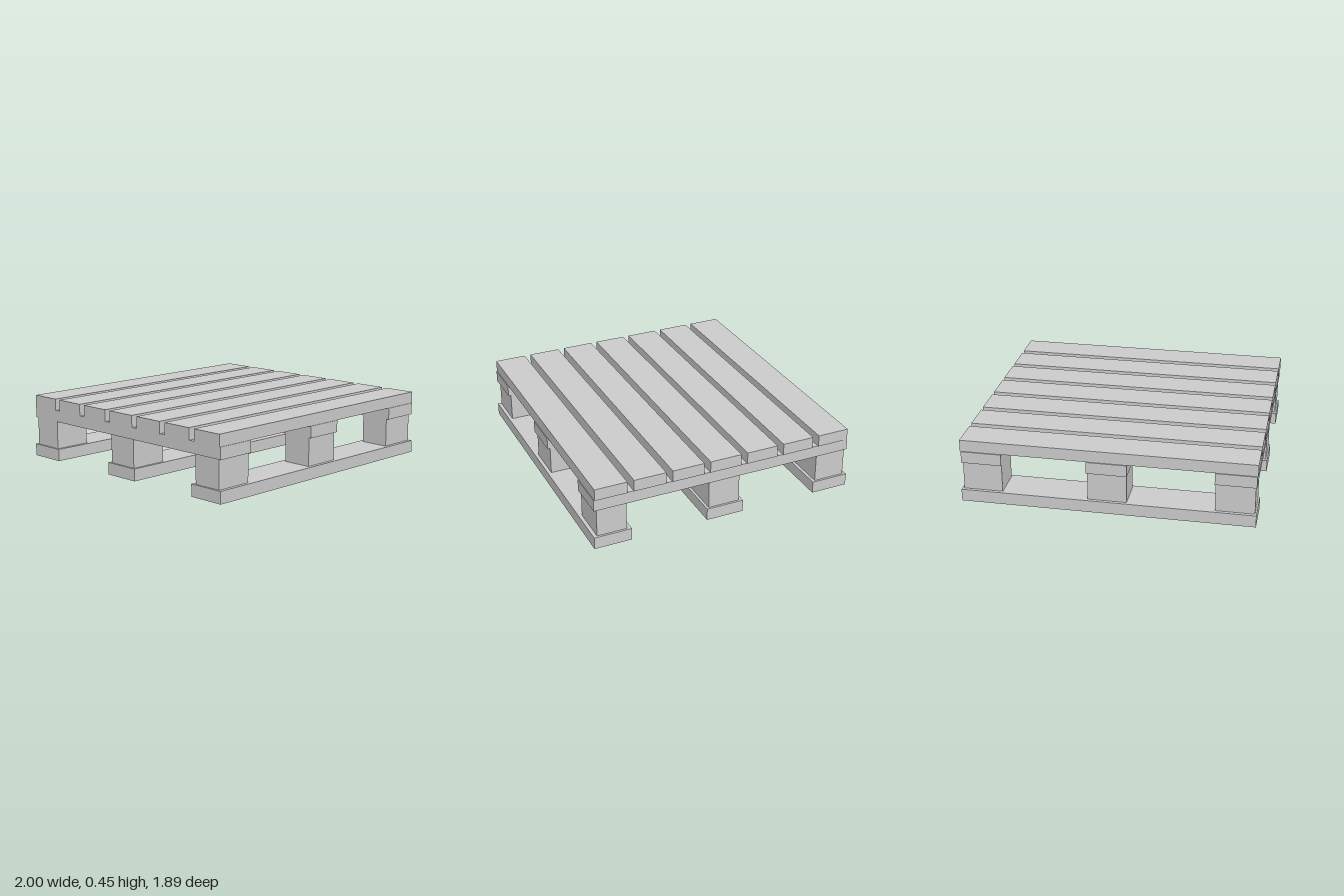
import * as THREE from 'three';

export function createModel() {
  const pallet = new THREE.Group();
  pallet.name = 'pallet';
  const wood = new THREE.MeshStandardMaterial({ color: 0xcccccc, flatShading: true });

  // Box given by its [min, max] range on each axis
  function plank(name, [x0, x1], [y0, y1], [z0, z1]) {
    const mesh = new THREE.Mesh(new THREE.BoxGeometry(x1 - x0, y1 - y0, z1 - z0), wood);
    mesh.position.set((x0 + x1) / 2, (y0 + y1) / 2, (z0 + z1) / 2);
    mesh.name = name;
    pallet.add(mesh);
  }

  const fullWidth = [-1, 1];
  const baseY = [0, 0.085], blockY = [0.085, 0.283];
  const stringerY = [0.283, 0.365], deckY = [0.365, 0.447];

  // Deck: seven evenly spaced slats across the top
  for (let i = 0; i < 7; i++) {
    const z = 0.003 + (i - 3) * 0.2723;
    plank('deckSlat', fullWidth, deckY, [z - 0.113, z + 0.113]);
  }

  // Stringers: three boards running front to back under the deck
  for (const x of [[-0.995, -0.72], [-0.138, 0.136], [0.717, 0.993]]) {
    plank('stringer', x, stringerY, [-0.934, 0.938]);
  }

  // Spacer blocks: a three by three grid
  for (const x of [[-0.989, -0.725], [-0.135, 0.13], [0.717, 0.985]]) {
    for (const z of [[-0.92, -0.7], [-0.107, 0.117], [0.71, 0.918]]) {
      plank('spacerBlock', x, blockY, z);
    }
  }

  // Base boards: one beneath each row of blocks
  for (const z of [[-0.943, -0.678], [-0.133, 0.135], [0.68, 0.943]]) {
    plank('baseBoard', fullWidth, baseY, z);
  }

  return pallet;
}
